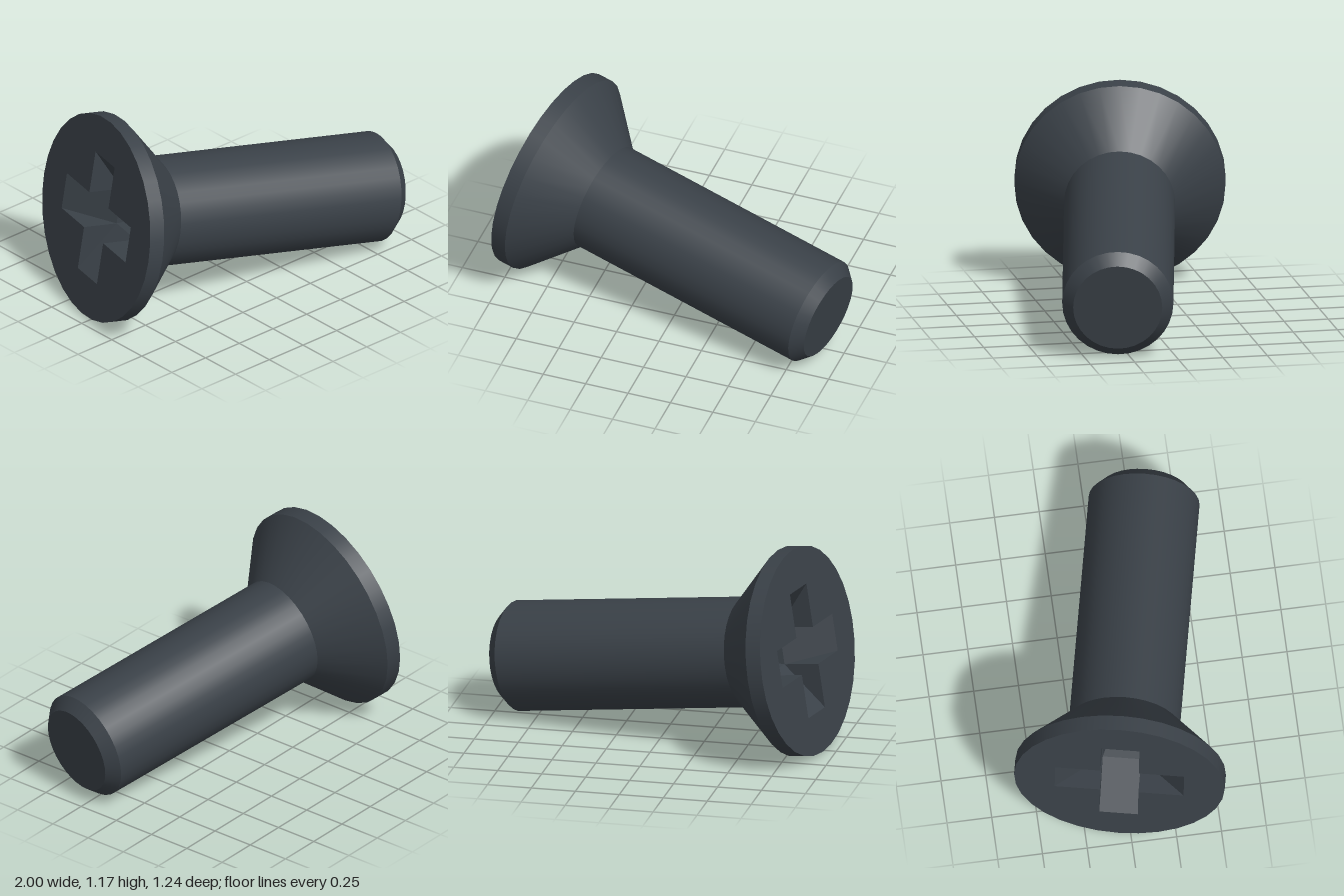
import * as THREE from 'three';

const SEG = 32;
const HEAD_R = 0.585, SHAFT_R = 0.308, TIP_R = 0.247;
const LENGTH = 1.849;
// Cross recess: half width, arm reach, arm depth, core half width and depth
const W = 0.107, REACH = 0.358, DEPTH = 0.21, CORE = 0.085, CORE_DEPTH = 0.29;

export function createModel() {
  const model = new THREE.Group();
  model.name = 'countersunkScrew';
  const steel = new THREE.MeshStandardMaterial({ color: 0x3a4148 });
  steel.name = 'dark steel';

  const screw = new THREE.Group();
  screw.name = 'screw';
  model.add(screw);

  const add = (name, geometry) => {
    const mesh = new THREE.Mesh(geometry, steel);
    mesh.name = name;
    screw.add(mesh);
    return mesh;
  };

  // Turned sections, kept apart so their edges stay sharp: lower r, y, upper r, y
  const sections = [
    ['headRim', HEAD_R, -0.09, HEAD_R, 0],
    ['countersink', SHAFT_R, -0.364, HEAD_R, -0.09],
    ['shaft', SHAFT_R, -LENGTH + 0.064, SHAFT_R, -0.364],
    ['tipChamfer', TIP_R, -LENGTH, SHAFT_R, -LENGTH + 0.064],
    ['tipFace', 0, -LENGTH, TIP_R, -LENGTH],
  ];
  for (const [name, r0, y0, r1, y1] of sections) {
    add(name, new THREE.LatheGeometry([new THREE.Vector2(r0, y0), new THREE.Vector2(r1, y1)], SEG));
  }

  // Flat head face with a cross-shaped opening
  const rim = [];
  for (let i = 0; i < SEG; i++) {
    const a = (i / SEG) * Math.PI * 2;
    rim.push(new THREE.Vector2(Math.cos(a) * HEAD_R, Math.sin(a) * HEAD_R));
  }
  const face = new THREE.Shape(rim);
  const cross = [];
  for (let k = 0; k < 4; k++) {
    for (const [x, y] of [[REACH, -W], [REACH, W], [W, W]]) {
      cross.push(new THREE.Vector2(x, y).rotateAround(new THREE.Vector2(), k * Math.PI / 2));
    }
  }
  face.holes.push(new THREE.Path(cross));
  add('headFace', new THREE.ShapeGeometry(face).rotateX(-Math.PI / 2));

  // One quarter of the recess: sloping arm floor, side walls, core wall and core floor
  const A = [W, 0, W], B = [REACH, 0, W], C = [REACH, 0, -W], E = [W, 0, -W];
  const F = [W, -DEPTH, W], G = [W, -DEPTH, -W];
  const f = [CORE, -CORE_DEPTH, CORE], g = [CORE, -CORE_DEPTH, -CORE], o = [0, -CORE_DEPTH, 0];
  const corners = [B, C, G, B, G, F, A, B, F, E, G, C, F, G, g, F, g, f, f, g, o];
  const quarter = new THREE.BufferGeometry();
  quarter.setAttribute('position', new THREE.Float32BufferAttribute(corners.flat(), 3));
  quarter.computeVertexNormals();
  for (let k = 0; k < 4; k++) add('crossRecess', quarter).rotation.y = k * Math.PI / 2;

  // Tilt the screw so that it rests on the head rim and the tip
  const outward = new THREE.Vector3(-0.9654, 0.158, -0.207).normalize();
  const up = new THREE.Vector3(0, 1, 0).addScaledVector(outward, -outward.y).normalize();
  const side = new THREE.Vector3().crossVectors(up, outward);
  screw.quaternion.setFromRotationMatrix(new THREE.Matrix4().makeBasis(up, outward, side));
  screw.position.set(-0.848, 0.593, -0.05);
  return model;
}
